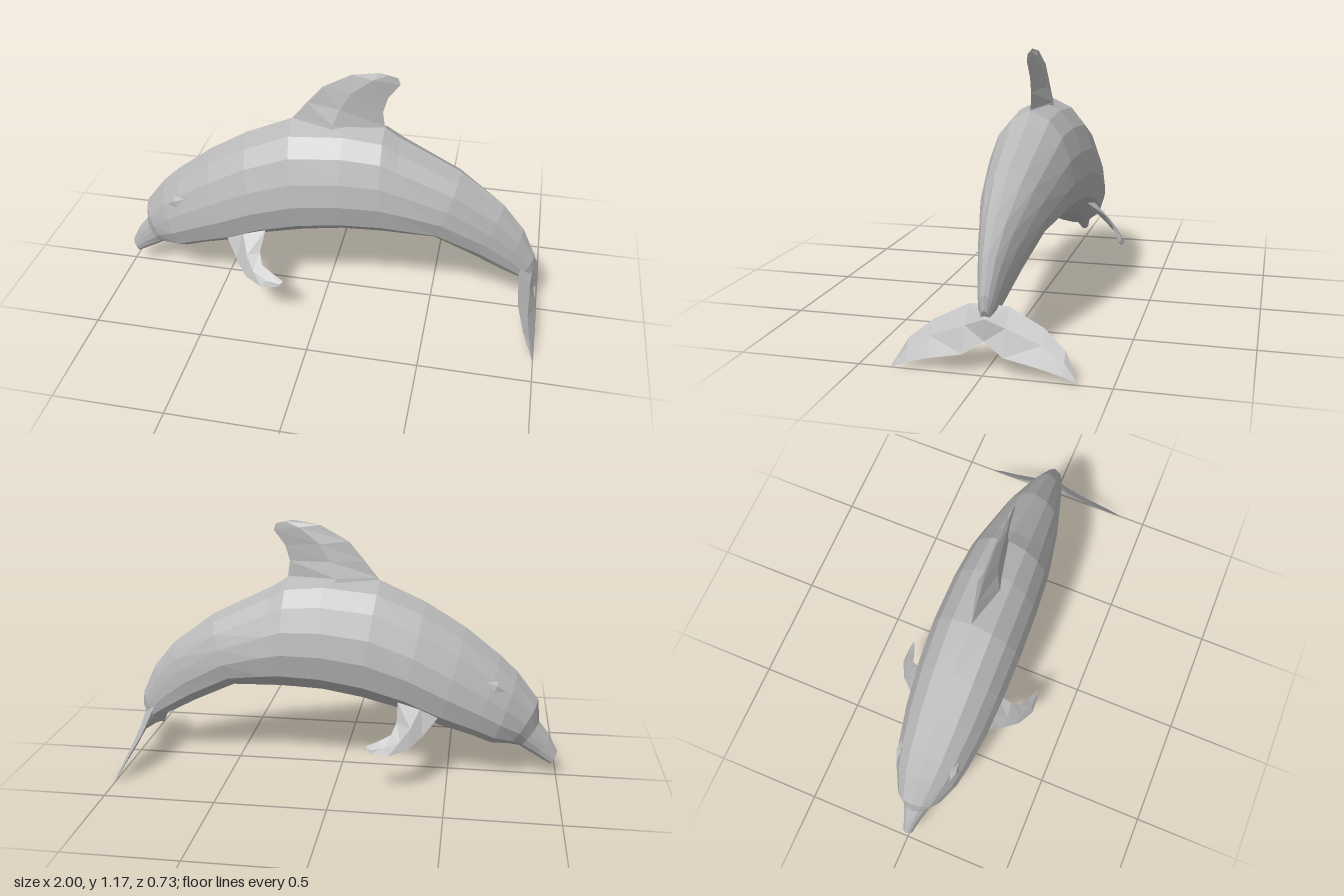
import * as THREE from 'three';

// Skin a list of closed rings (equal point counts), cap both ends, facet the faces.
function loft(rings) {
  const n = rings[0].length;
  const pos = rings.flat(2);
  const idx = [];
  for (let i = 0; i < rings.length - 1; i++) {
    for (let j = 0; j < n; j++) {
      const a = i * n + j, b = i * n + (j + 1) % n;
      idx.push(a, b, a + n, b, b + n, a + n);
    }
  }
  const last = (rings.length - 1) * n;
  for (let j = 1; j < n - 1; j++) {
    idx.push(0, j + 1, j);
    idx.push(last, last + j, last + j + 1);
  }
  // Signed volume decides whether the faces must be turned outward
  let volume = 0;
  const p = (i) => new THREE.Vector3().fromArray(pos, i * 3);
  for (let i = 0; i < idx.length; i += 3) {
    volume += p(idx[i]).dot(p(idx[i + 1]).cross(p(idx[i + 2])));
  }
  if (volume < 0) idx.reverse();
  const geo = new THREE.BufferGeometry();
  geo.setAttribute('position', new THREE.Float32BufferAttribute(pos, 3));
  geo.setIndex(idx);
  const flat = geo.toNonIndexed();
  flat.computeVertexNormals();
  return flat;
}

// Diamond-shaped fin section from leading edge to trailing edge, thickened along a normal
function finRing(lead, trail, half, normal) {
  const mid = lead.map((v, i) => v + (trail[i] - v) * 0.45);
  return [lead, mid.map((v, i) => v + normal[i] * half), trail, mid.map((v, i) => v - normal[i] * half)];
}

export function createModel() {
  const group = new THREE.Group();
  group.name = 'dolphin';
  const skin = new THREE.MeshStandardMaterial({ color: 0xb8b8b8, flatShading: true });
  skin.name = 'grey skin';
  const add = (geometry, name) => {
    const mesh = new THREE.Mesh(geometry, skin);
    mesh.name = name;
    group.add(mesh);
    return mesh;
  };

  // Body: back point x, y, belly point x, y, half width, from beak to tail stock
  const stations = [
    [-1.0, 0.12, -0.97, 0.058, 0.022],
    [-0.96, 0.2, -0.9, 0.1, 0.04],
    [-0.91, 0.265, -0.82, 0.15, 0.065],
    [-0.9, 0.37, -0.77, 0.16, 0.105],
    [-0.8, 0.5, -0.69, 0.165, 0.15],
    [-0.72, 0.575, -0.6, 0.2, 0.172],
    [-0.56, 0.7, -0.45, 0.245, 0.198],
    [-0.38, 0.81, -0.28, 0.315, 0.212],
    [-0.17, 0.905, -0.1, 0.36, 0.216],
    [0.08, 0.925, 0.08, 0.39, 0.21],
    [0.25, 0.905, 0.27, 0.397, 0.195],
    [0.32, 0.86, 0.36, 0.394, 0.183],
    [0.6, 0.72, 0.5, 0.388, 0.145],
    [0.8, 0.57, 0.7, 0.29, 0.092],
    [0.9, 0.45, 0.82, 0.225, 0.06],
    [0.965, 0.31, 0.9, 0.19, 0.036],
    [0.97, 0.25, 0.925, 0.17, 0.02],
  ];
  // Half section: height fraction from belly to back, width fraction
  const section = [[0, 0], [0.03, 0.45], [0.17, 0.87], [0.38, 1], [0.58, 0.92], [0.78, 0.73], [0.92, 0.43], [1, 0]];
  const fullSection = [...section, ...section.slice(1, -1).reverse().map(([t, w]) => [t, -w])];
  add(loft(stations.map(([tx, ty, bx, by, w]) =>
    fullSection.map(([t, s]) => [bx + (tx - bx) * t, by + (ty - by) * t, w * s]))), 'body');

  // Dorsal fin: leading x, y, trailing x, y, half thickness
  const dorsal = [
    [-0.2, 0.87, 0.32, 0.83, 0.065],
    [-0.16, 0.915, 0.25, 0.91, 0.048],
    [-0.1, 0.99, 0.24, 0.98, 0.028],
    [-0.03, 1.075, 0.26, 1.05, 0.02],
    [0.1, 1.147, 0.312, 1.12, 0.012],
    [0.22, 1.167, 0.3, 1.15, 0.003],
  ];
  add(loft(dorsal.map(([lx, ly, tx, ty, h]) => finRing([lx, ly, 0], [tx, ty, 0], h, [0, 0, 1]))), 'dorsalFin');

  // Flippers: leading point, trailing point, half thickness
  const flipper = [
    [[-0.47, 0.335, 0.14], [-0.27, 0.38, 0.15], 0.018],
    [[-0.39, 0.255, 0.235], [-0.275, 0.32, 0.24], 0.014],
    [[-0.33, 0.215, 0.3], [-0.255, 0.275, 0.28], 0.01],
    [[-0.25, 0.2, 0.342], [-0.2, 0.25, 0.3], 0.007],
    [[-0.17, 0.207, 0.338], [-0.145, 0.233, 0.325], 0.002],
  ];
  // Tail flukes: half span, leading x, y, trailing x, y, half thickness
  const fluke = [
    [0, 0.915, 0.26, 0.975, 0.13, 0.025],
    [0.08, 0.9, 0.25, 0.998, 0.08, 0.016],
    [0.22, 0.912, 0.18, 1.0, 0.052, 0.01],
    [0.31, 0.945, 0.11, 1.0, 0.028, 0.006],
    [0.367, 0.997, 0.008, 1.0, 0.002, 0.001],
  ];
  for (const [s, side] of [[1, 'left'], [-1, 'right']]) {
    const flip = ([x, y, z]) => [x, y, z * s];
    add(loft(flipper.map(([l, t, h]) => finRing(flip(l), flip(t), h, [0.1, 0.72, 0.68 * s]))), side + 'Flipper');
    add(loft(fluke.map(([z, lx, ly, tx, ty, h]) =>
      finRing([lx, ly, z * s], [tx, ty, z * s], h, [0.86, 0.5, 0]))), side + 'Fluke');

    // Faceted eyelid set into the cheek
    const eye = add(new THREE.OctahedronGeometry(1), side + 'Eyelid');
    eye.scale.set(0.05, 0.028, 0.014);
    eye.position.set(-0.705, 0.47, 0.134 * s);
    eye.rotation.set(-0.5 * s, -0.3 * s, 0.35);
  }
  return group;
}
